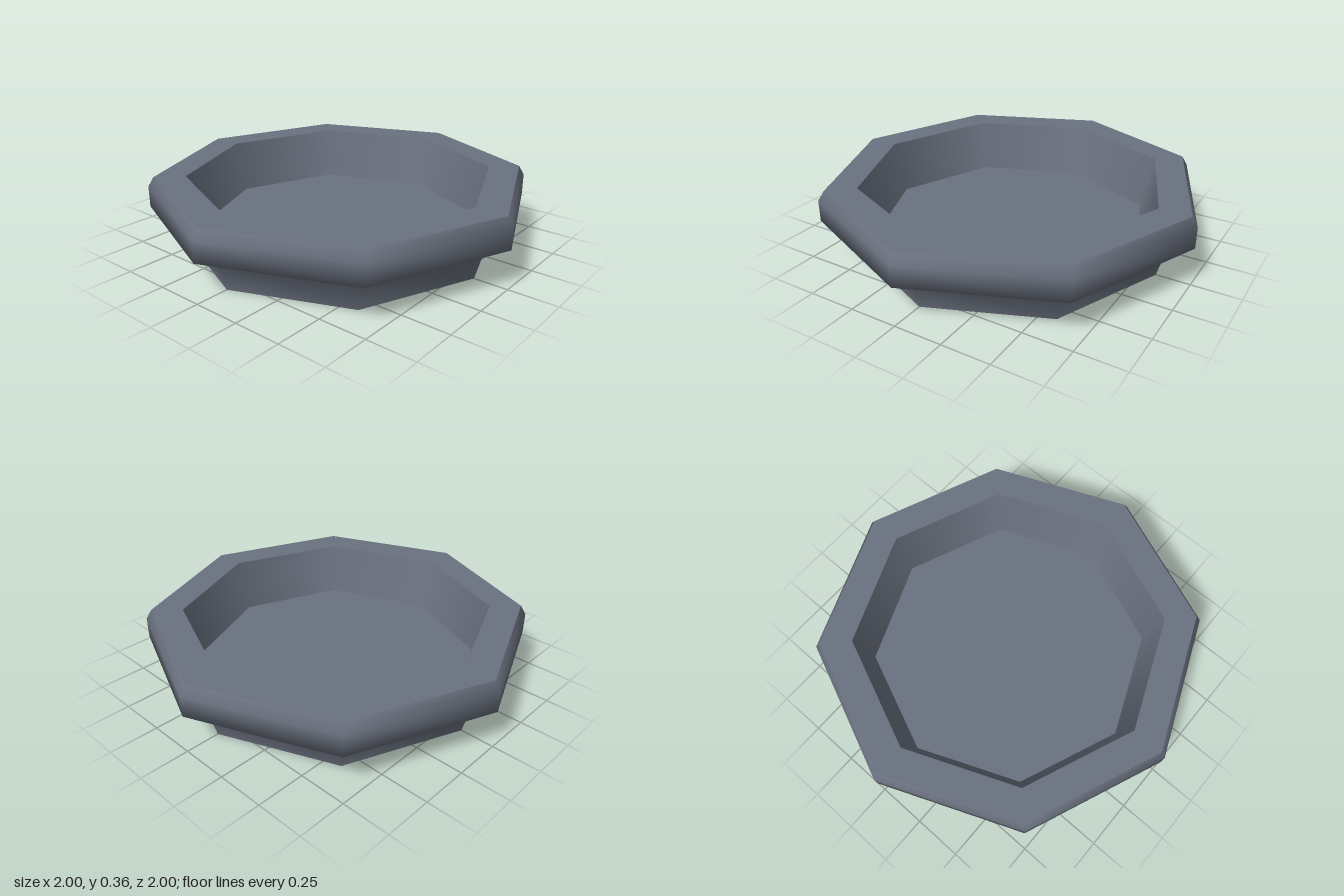
import * as THREE from 'three';

export function createModel() {
  const model = new THREE.Group();
  model.name = 'octagonalDish';

  const slate = new THREE.MeshStandardMaterial({ color: 0x6b7280 });
  slate.name = 'slateGrey';

  // Eight-sided ring swept from [radius, height] points; smooth within one part, sharp between parts
  const addRing = (name, points) => {
    const profile = points.map(([r, y]) => new THREE.Vector2(r, y));
    const mesh = new THREE.Mesh(new THREE.LatheGeometry(profile, 8), slate);
    mesh.name = name;
    model.add(mesh);
  };

  // Underside of the foot
  addRing('base', [[0, 0], [0.825, 0]]);
  // Flared foot, overhanging rim and its bevel
  addRing('outerWall', [[0.825, 0], [0.88, 0.2], [1, 0.2], [1, 0.31], [0.97, 0.36]]);
  // Flat top of the rim
  addRing('rimTop', [[0.97, 0.36], [0.805, 0.36]]);
  // Sloping inside wall
  addRing('innerWall', [[0.805, 0.36], [0.735, 0.09]]);
  // Sunken floor
  addRing('floor', [[0.735, 0.09], [0, 0.09]]);

  return model;
}
